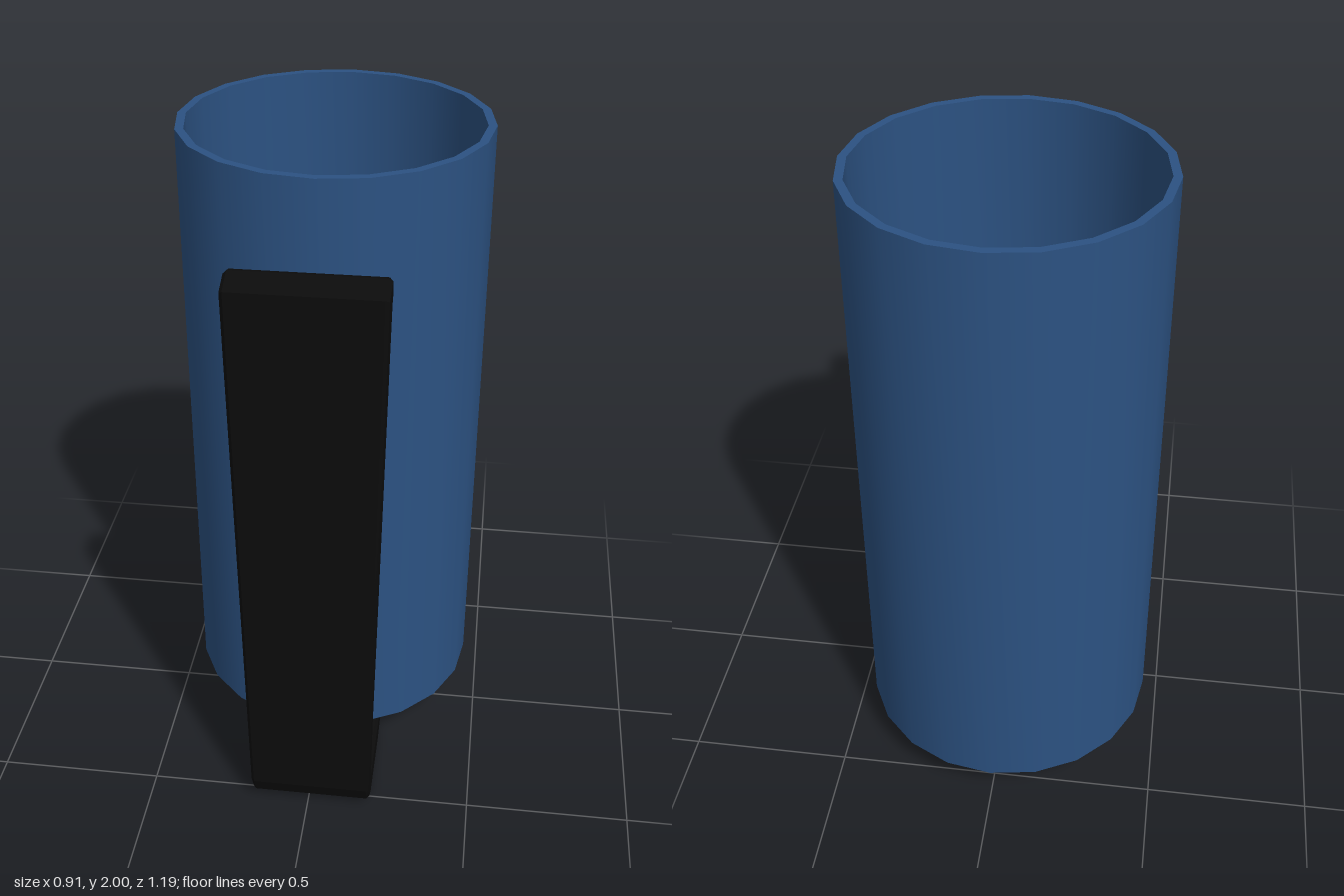
import * as THREE from 'three';
import { toCreasedNormals } from 'three/addons/utils/BufferGeometryUtils.js';

const AXIS_Z = -0.14; // the tube sits behind the clip
const SIDES = 20;

const vec = ([x, y]) => new THREE.Vector2(x, y);

function makeMesh(name, geometry, color, crease) {
  const material = new THREE.MeshStandardMaterial({ color, side: THREE.DoubleSide });
  const mesh = new THREE.Mesh(toCreasedNormals(geometry, crease), material);
  mesh.name = name;
  return mesh;
}

function turned(name, profile, color) {
  const mesh = makeMesh(name, new THREE.LatheGeometry(profile.map(vec), SIDES), color, 0.5);
  mesh.position.z = AXIS_Z;
  return mesh;
}

// Half width of the clip, widening towards its top
function clipHalfWidth(y) {
  return y < 1.45
    ? THREE.MathUtils.mapLinear(y, 0, 1.45, 0.184, 0.195)
    : THREE.MathUtils.mapLinear(y, 1.45, 1.83, 0.195, 0.215);
}

function makeClip() {
  // Side outline as [z, y]: foot under the tube, upright arm, thick grip at the top
  const outline = [
    [0.075, 0.115], [0.085, 0.1], [0.15, 0.035], [0.24, 0.005], [0.49, 0.005],
    [0.545, 0.04], [0.573, 0.1], [0.595, 1.805], [0.52, 1.83], [0.49, 1.82],
    [0.443, 1.77], [0.436, 1.5], [0.444, 1.46], [0.476, 1.42], [0.487, 0.105],
    [0.24, 0.105], [0.16, 0.125],
  ];
  const bevel = 0.01;
  const geometry = new THREE.ExtrudeGeometry(new THREE.Shape(outline.map(vec)), {
    depth: 2 - 2 * bevel, bevelSize: bevel, bevelOffset: -bevel,
    bevelThickness: 0.05, bevelSegments: 1,
  });
  geometry.rotateY(-Math.PI / 2);
  geometry.computeBoundingBox();
  const { min, max } = geometry.boundingBox;
  const middle = (min.x + max.x) / 2;
  const half = (max.x - min.x) / 2;

  // Taper the width with height
  const p = geometry.attributes.position;
  for (let i = 0; i < p.count; i++) {
    p.setX(i, 0.01 + ((p.getX(i) - middle) / half) * clipHalfWidth(p.getY(i)));
  }
  return makeMesh('clip', geometry, 0x0c0c0c, 0.4);
}

export function createModel() {
  const group = new THREE.Group();
  group.name = 'clipOnTube';

  // Open tube with a thin wall, a bottom lip and a recessed ring around the button
  group.add(turned('tube', [
    [0.357, 0.155], [0.41, 0.155], [0.41, 0.122], [0.455, 0.122],
    [0.455, 2], [0.43, 2], [0.43, 0.13], [0.413, 0.13], [0.413, 0.16], [0.357, 0.16],
  ], 0x2c5282));

  // Shallow dished disc closing the bottom
  group.add(turned('bottomDisc', [
    [0, 0.11], [0.28, 0.122], [0.345, 0.134], [0.357, 0.16],
  ], 0xee1212));

  group.add(makeClip());
  return group;
}
